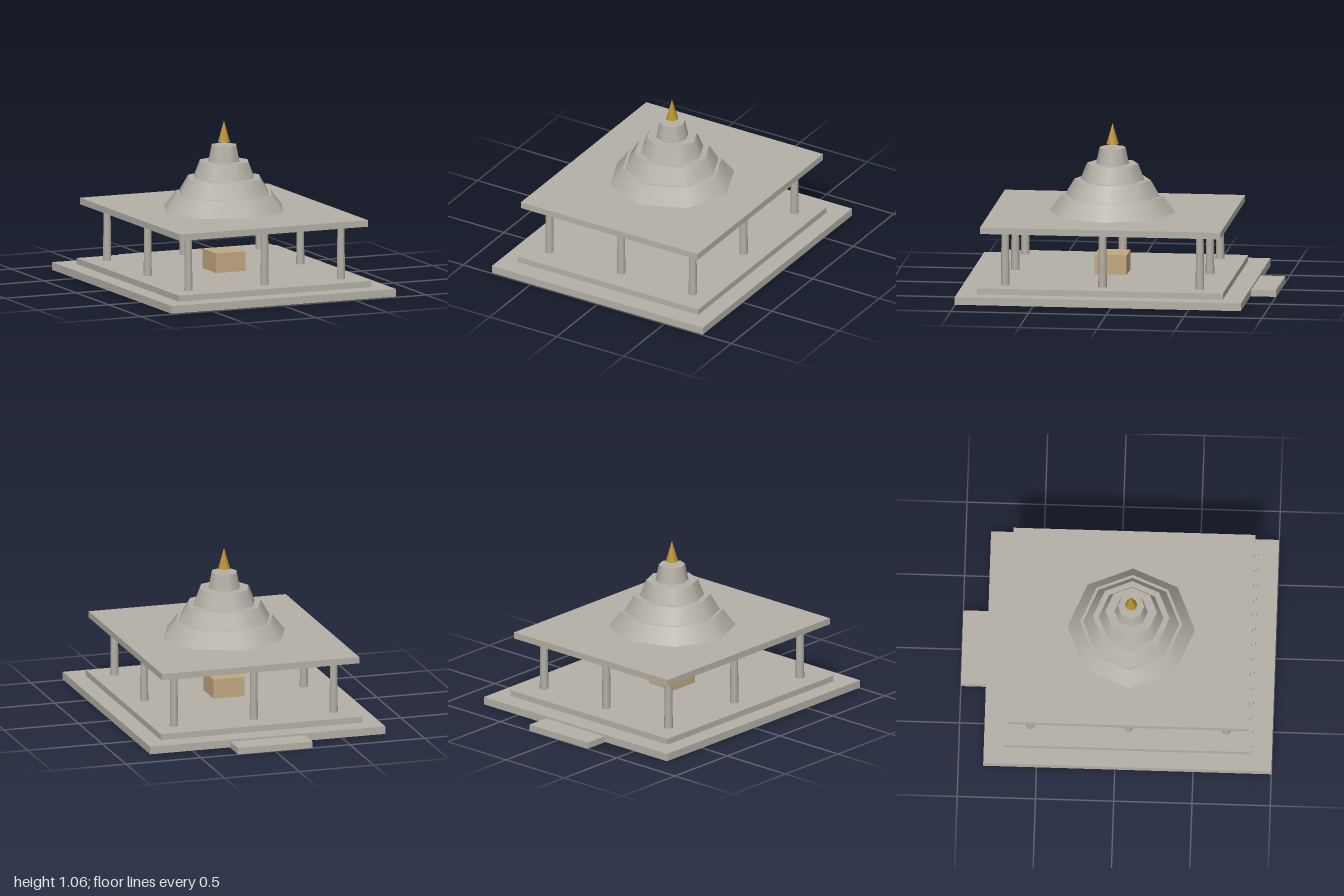
import * as THREE from 'three';

export function createModel() {
  const group = new THREE.Group();
  group.name = 'pavilion';
  const mat = (name, color) => {
    const m = new THREE.MeshStandardMaterial({ color });
    m.name = name;
    return m;
  };
  const stone = mat('stone', 0xb4b0a6);
  const sandstone = mat('sandstone', 0xc2a882);
  const gold = mat('gold', 0xb8902f);
  const CZ = 0.08; // centre of the hall along z

  const add = (name, geometry, material, x, y, z) => {
    const mesh = new THREE.Mesh(geometry, material);
    mesh.name = name;
    mesh.position.set(x, y, z);
    group.add(mesh);
  };
  // Box given by its bottom and top heights
  const slab = (name, w, y0, y1, d, z, material = stone) =>
    add(name, new THREE.BoxGeometry(w, y1 - y0, d), material, 0, (y0 + y1) / 2, z);
  // Eight-sided taper given by its bottom and top heights
  const taper = (name, r0, r1, y0, y1, x, z, material = stone) =>
    add(name, new THREE.CylinderGeometry(r1, r0, y1 - y0, 8), material, x, (y0 + y1) / 2, z);

  // Platform, rear step, roof slab and altar
  slab('lowerPlinth', 1.575, 0.004, 0.054, 1.84, CZ);
  slab('upperPlinth', 1.35, 0.054, 0.093, 1.58, CZ);
  slab('rearStep', 0.5, 0, 0.042, 0.16, -0.92);
  slab('roofSlab', 1.32, 0.443, 0.485, 1.545, CZ);
  slab('altar', 0.206, 0.093, 0.22, 0.206, CZ, sandstone);

  // Eight columns around the edge
  for (const i of [-1, 0, 1]) {
    for (const j of [-1, 0, 1]) {
      if (i || j) taper('column', 0.028, 0.024, 0.093, 0.443, i * 0.535, CZ + j * 0.626);
    }
  }

  // Four stacked roof tiers, each narrowing by a fifth
  for (let i = 0; i < 4; i++) {
    const r = 0.407 - i * 0.1005;
    const y = 0.485 + i * 0.104;
    taper('roofTier', r, r * 0.8, y, y + 0.104, 0, CZ);
  }

  // Finial
  add('finial', new THREE.ConeGeometry(0.04, 0.137, 8), gold, 0, 0.991, CZ);
  return group;
}
